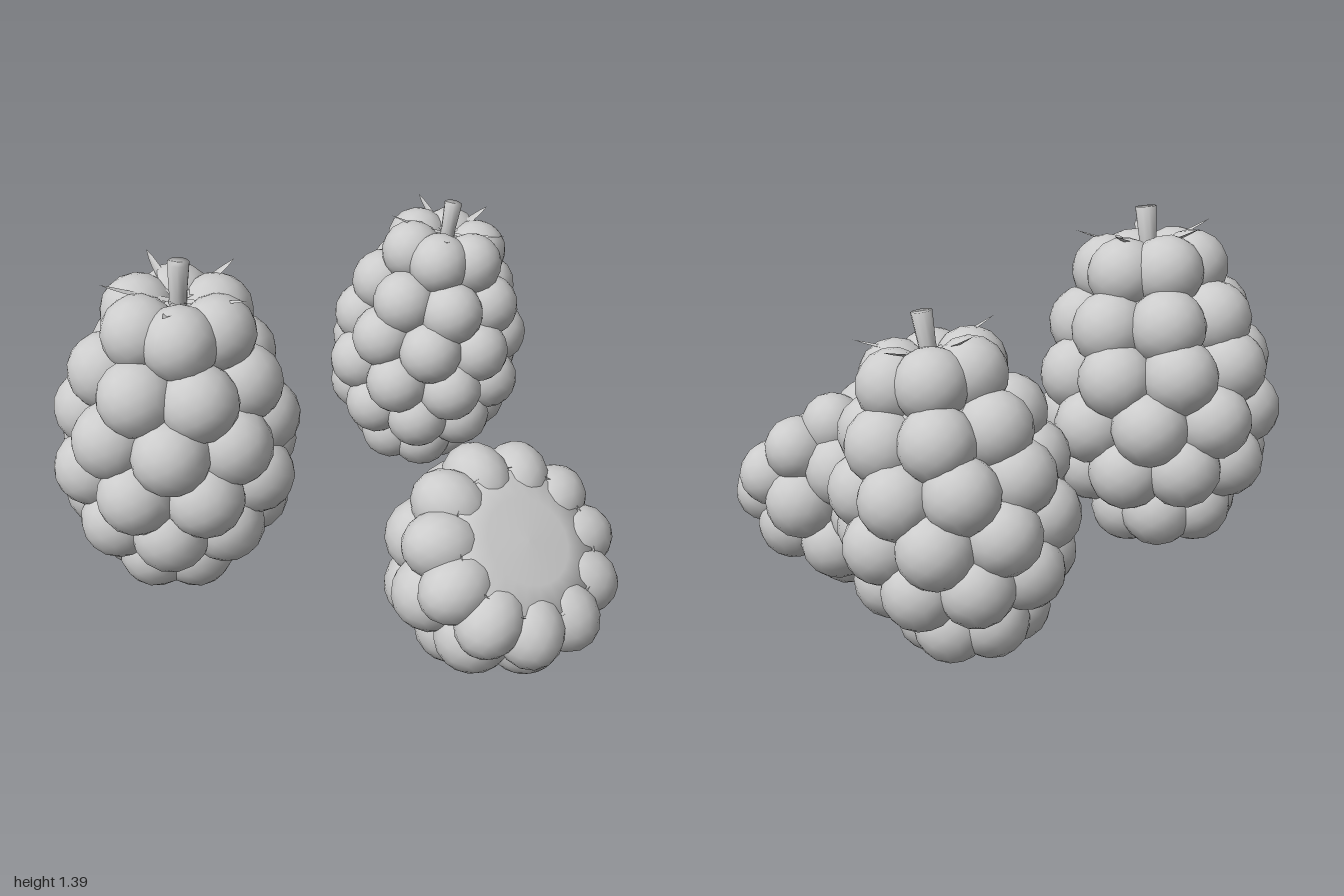
import * as THREE from 'three';

const grey = new THREE.MeshStandardMaterial({ color: 0xcccccc, side: THREE.DoubleSide });
grey.name = 'berryGrey';

function add(parent, name, geometry) {
  const mesh = new THREE.Mesh(geometry, grey);
  mesh.name = name;
  parent.add(mesh);
  return mesh;
}

// Rings of drupelets: [height, ring radius, count, drupelet radius, start in degrees, stretch]
function addDrupelets(parent, rows) {
  const group = new THREE.Group();
  group.name = 'drupelets';
  parent.add(group);
  for (const [y, ring, count, r, start, stretch = [1, 1, 1]] of rows) {
    const geometry = new THREE.IcosahedronGeometry(r, 2).scale(...stretch);
    for (let i = 0; i < count; i++) {
      const a = THREE.MathUtils.degToRad(start + (i / count) * 360);
      const bead = add(group, 'drupelet', geometry);
      bead.position.set(Math.sin(a) * ring, y, Math.cos(a) * ring);
      bead.rotation.y = a;
    }
  }
  return group;
}

// Pointed leaf blade running along +z, folded along its middle and curling up
function sepalGeometry() {
  const geometry = new THREE.PlaneGeometry(1, 1, 2, 6);
  const p = geometry.attributes.position;
  for (let i = 0; i < p.count; i++) {
    const side = p.getX(i) * 2;
    const t = p.getY(i) + 0.5;
    const half = 0.024 * Math.pow(1 - t, 0.8) * (0.6 + 1.2 * t);
    p.setXYZ(i, side * half, 0.04 * t * t + 0.03 * t + Math.abs(side) * half * 0.4, 0.02 + 0.23 * t);
  }
  geometry.computeVertexNormals();
  return geometry;
}

function wholeBerry(name, spin) {
  const berry = new THREE.Group();
  berry.name = name;
  add(berry, 'core', new THREE.SphereGeometry(0.28, 20, 14)).scale.y = 1.75;
  addDrupelets(berry, [
    [0.415, 0.145, 6, 0.127, 30],
    [0.24, 0.23, 7, 0.132, -15],
    [0.075, 0.28, 8, 0.132, 8.5],
    [-0.09, 0.292, 8, 0.132, -14],
    [-0.25, 0.25, 8, 0.132, 8.5],
    [-0.415, 0.135, 6, 0.128, -3],
  ]).rotation.y = THREE.MathUtils.degToRad(spin);
  add(berry, 'tip', new THREE.IcosahedronGeometry(0.115, 2)).position.y = -0.445;

  // Stem with a slight flare at its cut end
  const stem = [[0, 0.38], [0.034, 0.38], [0.03, 0.52], [0.037, 0.63], [0, 0.63]];
  add(berry, 'stem', new THREE.LatheGeometry(stem.map(([x, y]) => new THREE.Vector2(x, y)), 10));

  const blade = sepalGeometry();
  for (let i = 0; i < 5; i++) {
    const sepal = add(berry, 'sepal', blade);
    sepal.position.y = 0.49;
    sepal.rotation.y = 0.5 + (i / 5) * Math.PI * 2;
  }
  return berry;
}

// Berry lying open, with its plug seen inside a rim of longer drupelets
function openBerry() {
  const berry = new THREE.Group();
  berry.name = 'openBerry';
  const core = add(berry, 'core', new THREE.SphereGeometry(0.26, 20, 8, 0, Math.PI * 2, Math.PI / 2, Math.PI / 2));
  core.scale.y = 1.8;
  addDrupelets(berry, [
    [-0.1, 0.26, 11, 0.12, 16, [0.96, 1, 1.13]],
    [-0.25, 0.255, 8, 0.132, 0],
    [-0.415, 0.17, 6, 0.133, 12],
  ]);
  add(berry, 'tip', new THREE.IcosahedronGeometry(0.12, 2)).position.y = -0.47;
  const plug = [[0.26, -0.08], [0.25, -0.005], [0.15, 0.01], [0, 0.015]];
  add(berry, 'plug', new THREE.LatheGeometry(plug.map(([x, y]) => new THREE.Vector2(x, y)), 22));
  return berry;
}

export function createModel() {
  const model = new THREE.Group();
  model.name = 'berries';

  const large = wholeBerry('largeBerry', 0);
  large.position.set(-0.582, 0.75, -0.367);
  large.rotation.x = 0.11;

  const small = wholeBerry('smallBerry', 42);
  small.position.set(0.632, 0.693, -0.52);
  small.scale.setScalar(0.89);
  small.rotation.set(0.14, 0, -0.09, 'XZY');

  const open = openBerry();
  open.position.set(0.095, 0.537, 0.645);
  open.rotation.x = 0.78;

  model.add(large, small, open);
  return model;
}
